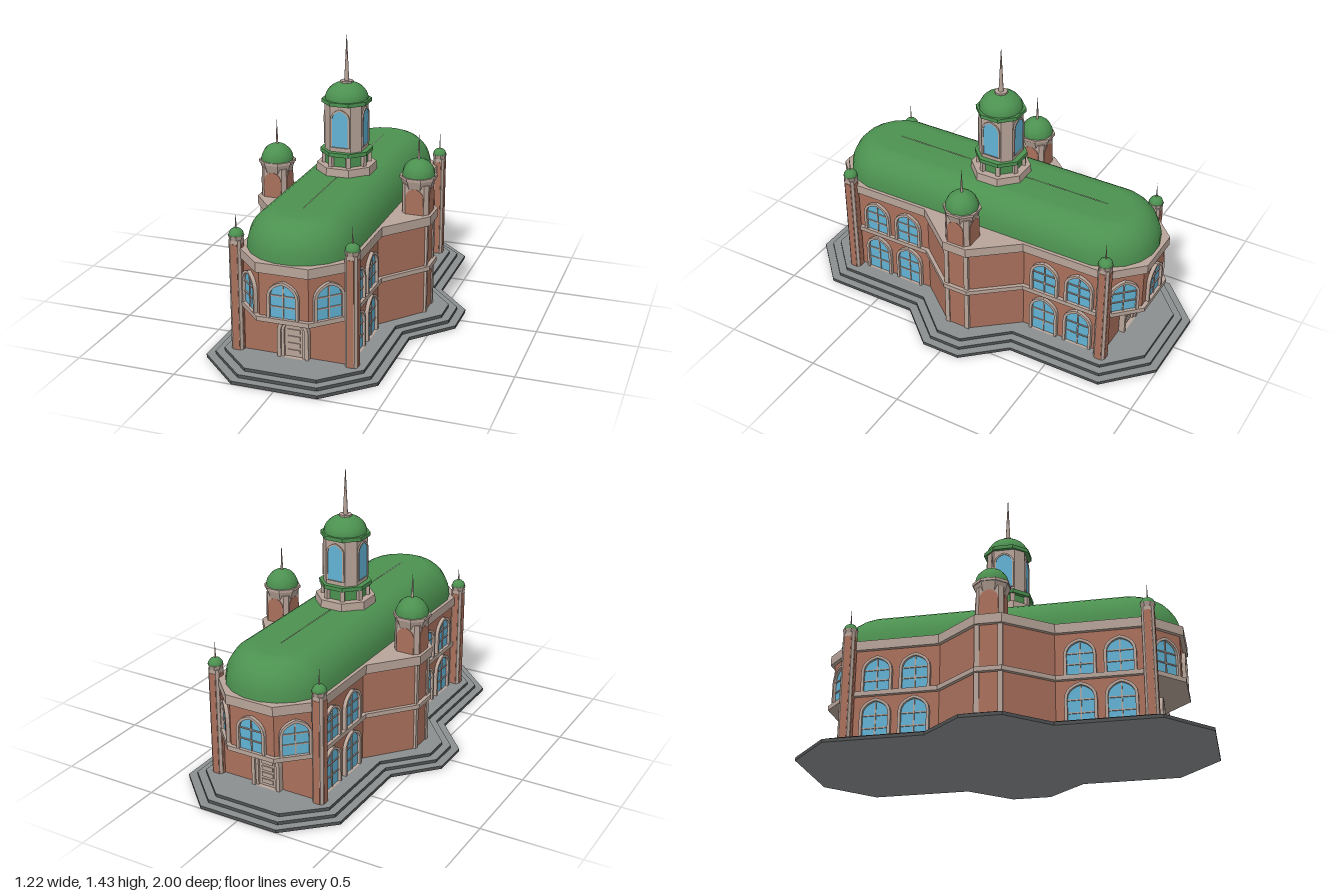
import * as THREE from 'three';

const mat = (name, color) => {
  const m = new THREE.MeshStandardMaterial({ color });
  m.name = name;
  return m;
};

export function createModel() {
  const model = new THREE.Group();
  model.name = 'domedHall';
  const brick = mat('brick', 0xa9705c), stone = mat('paleStone', 0xb8a499);
  const green = mat('greenRoof', 0x4c9150), glass = mat('blueGlass', 0x62b2d4);
  const paving = mat('stepTop', 0x8b8f90), riser = mat('stepSide', 0x505253);

  const add = (parent, name, geo, material, x = 0, y = 0, z = 0) => {
    const m = new THREE.Mesh(geo, material);
    m.name = name;
    m.position.set(x, y, z);
    parent.add(m);
    return m;
  };
  const group = (parent, name, x = 0, y = 0, z = 0, turn = 0) => {
    const g = new THREE.Group();
    g.name = name;
    g.position.set(x, y, z);
    g.rotation.y = turn;
    parent.add(g);
    return g;
  };

  // Full outline from the points of one quarter, running from the end to the side
  const outline = q => {
    const back = [...q].reverse();
    return [...q.map(([x, z]) => [x, z]), ...back.map(([x, z]) => [x, -z]),
      ...q.map(([x, z]) => [-x, -z]), ...back.map(([x, z]) => [-x, z])];
  };
  const slab = (q, y0, y1) => {
    const s = new THREE.Shape(outline(q).map(p => new THREE.Vector2(...p)));
    const g = new THREE.ExtrudeGeometry(s, { depth: y1 - y0, bevelEnabled: false });
    return g.rotateX(-Math.PI / 2).translate(0, y0, 0);
  };
  // Square plan with cut corners
  const cutSquare = (half, face) => [[face, half], [half, face]];
  // Regular octagonal drum with flats to the front
  const drum = (top, bottom, h) => {
    const k = 1 / Math.cos(Math.PI / 8);
    return new THREE.CylinderGeometry(top * k, bottom * k, h, 8).rotateY(Math.PI / 8).toNonIndexed();
  };
  const octagon = (parent, name, top, bottom, y0, y1, material) => {
    const g = drum(top, bottom, y1 - y0);
    g.computeVertexNormals();
    return add(parent, name, g, material, 0, (y0 + y1) / 2, 0);
  };
  const dome = (parent, r, h, y, sides) => {
    const g = new THREE.SphereGeometry(r, sides, 8, 0, Math.PI * 2, 0, Math.PI / 2);
    return add(parent, 'dome', g.scale(1, h / r, 1), green, 0, y, 0);
  };
  const spire = (parent, r, y0, y1) =>
    add(parent, 'spire', new THREE.CylinderGeometry(r * 0.1, r, y1 - y0, 8), stone, 0, (y0 + y1) / 2, 0);

  // Slightly pointed arch standing on y = 0
  const archPath = (path, w, h) => {
    const spring = h - w * 1.05;
    path.moveTo(-w, 0);
    path.lineTo(w, 0);
    path.lineTo(w, spring);
    path.bezierCurveTo(w, spring + w * 0.6, w * 0.55, h - w * 0.15, 0, h);
    path.bezierCurveTo(-w * 0.55, h - w * 0.15, -w, spring + w * 0.6, -w, spring);
    path.lineTo(-w, 0);
    return path;
  };
  const arch = (w, h, depth, rim = 0) => {
    const s = archPath(new THREE.Shape(), w, h);
    if (rim) s.holes.push(archPath(new THREE.Path(), w - rim, h - rim));
    return new THREE.ExtrudeGeometry(s, { depth, bevelEnabled: false, curveSegments: 5 });
  };

  const windowAt = (x, y, z, turn, h) => {
    const g = group(model, 'window', x, y, z, turn);
    add(g, 'frame', arch(0.077, h, 0.018, 0.014), stone);
    add(g, 'glass', arch(0.064, h - 0.013, 0.004), glass);
    add(g, 'mullion', new THREE.BoxGeometry(0.006, h - 0.02, 0.006), stone, 0, (h - 0.02) / 2, 0.006);
    for (const t of [0.3, 0.6])
      add(g, 'glazingBar', new THREE.BoxGeometry(0.126, 0.006, 0.006), stone, 0, h * t, 0.006);
  };

  // Stepped platform
  [0, 0.04, 0.08].forEach((d, i) => {
    const k = d * 0.414;
    const q = [[0.21 - k, 1 - d], [0.43 - d, 0.79 - k], [0.43 - d, 0.3 - k], [0.61 - d, 0.1 - k]];
    add(model, 'step', slab(q, i * 0.0165, (i + 1) * 0.0165), [paving, riser]);
  });

  // Walls: flat ends below, projecting bays above, divided by stone bands
  const wings = [[0.26, 0.28], [0.44, 0.06]];
  const trim = [[0.28, 0.285], [0.46, 0.065]];
  add(model, 'groundFloor', slab([[0.26, 0.73], ...wings], 0.045, 0.29), brick);
  add(model, 'upperFloor', slab([[0.12, 0.86], [0.26, 0.72], ...wings], 0.29, 0.53), brick);
  const band = [[0.128, 0.88], [0.28, 0.728], ...trim];
  add(model, 'floorBand', slab(band, 0.28, 0.303), stone);
  add(model, 'cornice', slab(band, 0.52, 0.568), stone);

  // Pilasters on the wing corners
  for (const sx of [1, -1]) for (const sz of [1, -1])
    add(model, 'pilaster', new THREE.BoxGeometry(0.024, 0.475, 0.024), stone, sx * 0.434, 0.2875, sz * 0.056);

  // Windows along the sides
  for (const s of [1, -1]) for (const z of [-0.59, -0.4, 0.4, 0.59]) {
    windowAt(s * 0.26, 0.05, z, s * Math.PI / 2, 0.215);
    windowAt(s * 0.26, 0.303, z, s * Math.PI / 2, 0.183);
  }

  // Bay windows and doors at both ends
  for (const s of [1, -1]) {
    const turn = s > 0 ? 0 : Math.PI;
    windowAt(0, 0.303, s * 0.86, turn, 0.183);
    for (const sx of [1, -1])
      windowAt(sx * 0.19, 0.303, s * 0.79, Math.atan2(sx, s), 0.183);
    const door = group(model, 'door', 0, 0.05, s * 0.73, turn);
    add(door, 'outerFrame', arch(0.078, 0.213, 0.03, 0.018), stone);
    add(door, 'innerFrame', arch(0.06, 0.195, 0.02, 0.014), stone);
    add(door, 'doorLeaf', arch(0.047, 0.182, 0.008), stone);
    for (let i = 0; i < 4; i++)
      add(door, 'doorPanel', new THREE.BoxGeometry(0.062, 0.022, 0.006), stone, 0, 0.025 + i * 0.035, 0.01);
  }

  // Long vaulted roof: a turned profile pulled apart along z
  const profile = [];
  for (let i = 0; i <= 8; i++) {
    const a = (i / 8) * Math.PI / 2;
    profile.push(new THREE.Vector2(0.12 + 0.146 * Math.cos(a), 0.566 + 0.18 * Math.sin(a)));
  }
  profile.push(new THREE.Vector2(0.001, 0.746));
  const roof = new THREE.LatheGeometry(profile, 20, Math.PI / 20);
  const p = roof.attributes.position;
  for (let i = 0; i < p.count; i++) p.setZ(i, p.getZ(i) + Math.sign(p.getZ(i)) * 0.6);
  add(model, 'mainRoof', roof, green);

  // Corner turrets
  for (const sx of [1, -1]) for (const sz of [1, -1]) {
    const t = group(model, 'cornerTurret', sx * 0.285, 0, sz * 0.73);
    add(t, 'shaft', slab(cutSquare(0.03, 0.019), 0.045, 0.605), stone);
    for (let i = 0; i < 4; i++) {
      const side = group(t, 'turretSide', 0, 0, 0, i * Math.PI / 2);
      add(side, 'brickPanel', new THREE.BoxGeometry(0.032, 0.535, 0.004), brick, 0, 0.318, 0.03);
    }
    octagon(t, 'cap', 0.036, 0.03, 0.605, 0.626, stone);
    dome(t, 0.036, 0.034, 0.626, 10);
    spire(t, 0.004, 0.655, 0.74);
  }

  // Side towers over the wings
  for (const sx of [1, -1]) {
    const t = group(model, 'sideTower', sx * 0.376, 0, 0);
    add(t, 'shaft', slab(cutSquare(0.067, 0.048), 0.56, 0.72), stone);
    for (let i = 0; i < 4; i++) {
      const side = group(t, 'towerSide', 0, 0.566, 0, i * Math.PI / 2);
      add(side, 'brickArch', arch(0.046, 0.136, 0.004), brick, 0, 0, 0.066);
    }
    octagon(t, 'flare', 0.083, 0.066, 0.69, 0.742, stone);
    octagon(t, 'lip', 0.087, 0.087, 0.742, 0.756, stone);
    dome(t, 0.083, 0.084, 0.756, 12);
    spire(t, 0.007, 0.835, 0.965);
  }

  // Central tower: base, balcony, lantern, dome
  const c = group(model, 'centralTower');
  octagon(c, 'base', 0.138, 0.142, 0.735, 0.785, stone);
  octagon(c, 'balconyWall', 0.102, 0.102, 0.785, 0.842, green);
  for (let i = 0; i < 8; i++) {
    const a = (i + 0.5) * Math.PI / 4;
    const post = add(c, 'balconyPost', new THREE.BoxGeometry(0.022, 0.057, 0.022), stone,
      Math.sin(a) * 0.112, 0.8135, Math.cos(a) * 0.112);
    post.rotation.y = a;
  }
  octagon(c, 'balconyRim', 0.122, 0.122, 0.84, 0.86, green);
  add(c, 'lantern', slab(cutSquare(0.096, 0.054), 0.855, 1.1), stone);
  for (let i = 0; i < 4; i++) {
    const side = group(c, 'lanternSide', 0, 0.885, 0, i * Math.PI / 2);
    add(side, 'lanternGlass', arch(0.042, 0.186, 0.004), glass, 0, 0, 0.095);
    add(side, 'lanternFrame', arch(0.05, 0.195, 0.008, 0.009), stone, 0, -0.002, 0.095);
  }
  octagon(c, 'domeRim', 0.115, 0.115, 1.095, 1.114, green);
  dome(c, 0.108, 0.084, 1.114, 16);
  octagon(c, 'finialBase', 0.03, 0.03, 1.19, 1.203, stone);
  spire(c, 0.013, 1.2, 1.43);

  return model;
}
